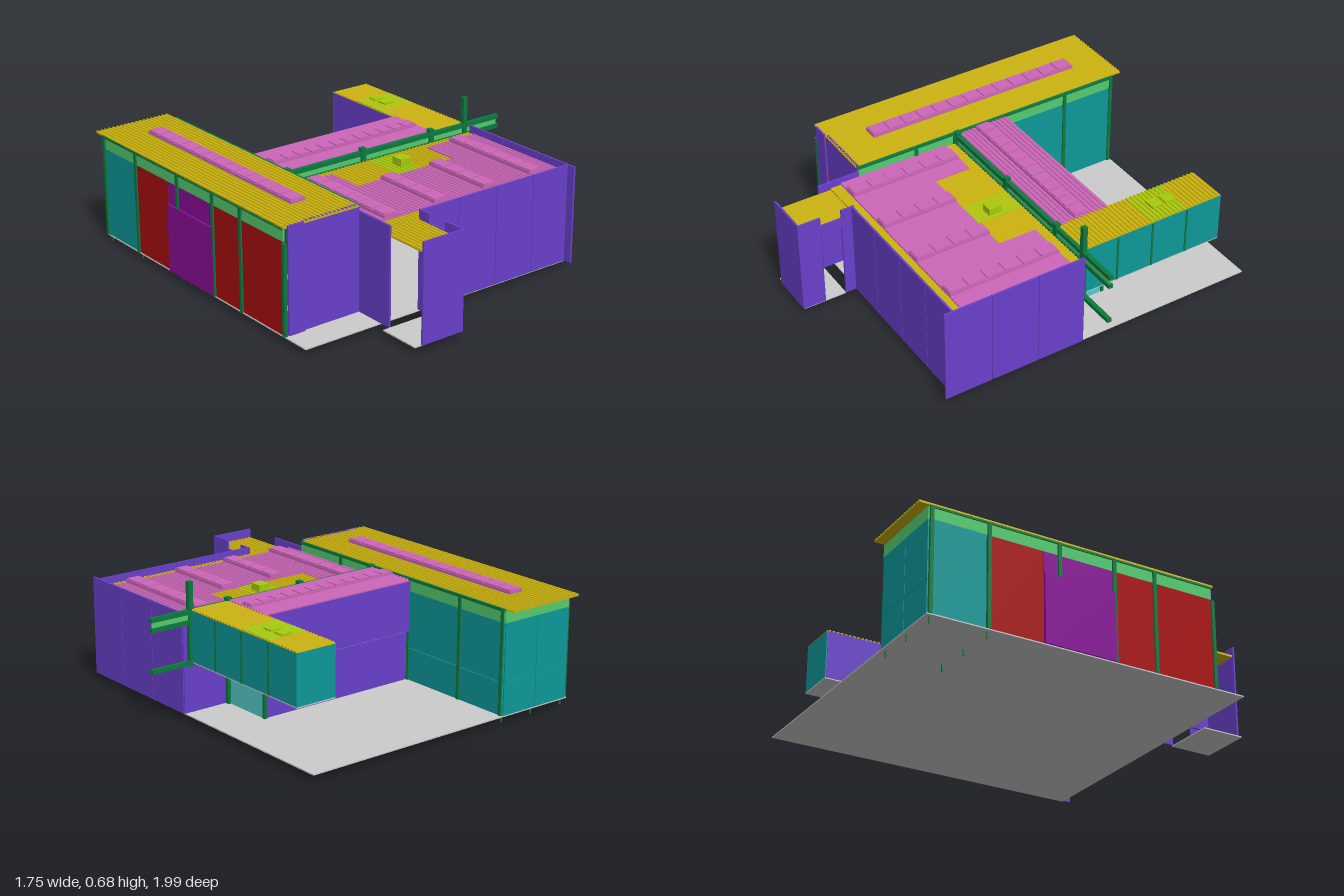
import * as THREE from 'three';

const COLORS = {
  grey: 0xcccccc, purple: 0x6a40cc, teal: 0x0d9999, cyan: 0x55cccc, green: 0x0d7a40, mint: 0x55cc70,
  yellow: 0xccb30d, pink: 0xcc66b8, lime: 0xa6cc0d, red: 0xaa0d0d, magenta: 0x8a0d99,
};
const materials = {};
for (const key in COLORS) {
  materials[key] = new THREE.MeshStandardMaterial({ color: COLORS[key], flatShading: true });
}

export function createModel() {
  const root = new THREE.Group();
  let parent = root;

  function section(name) {
    parent = new THREE.Group();
    parent.name = name;
    root.add(parent);
  }

  // Box given by its lower and upper limits on each axis
  function box(name, color, x0, x1, y0, y1, z0, z1) {
    const mesh = new THREE.Mesh(new THREE.BoxGeometry(x1 - x0, y1 - y0, z1 - z0), materials[color]);
    mesh.position.set((x0 + x1) / 2, (y0 + y1) / 2, (z0 + z1) / 2);
    mesh.name = name;
    parent.add(mesh);
    return mesh;
  }

  // Thin walls along x (at a given z) and along z (at a given x)
  const T = 0.005;
  const wallX = (name, color, x0, x1, y0, y1, z) => box(name, color, x0, x1, y0, y1, z - T, z + T);
  const wallZ = (name, color, x, y0, y1, z0, z1) => box(name, color, x - T, x + T, y0, y1, z0, z1);
  const post = (x, z, y0, y1, r = 0.009) => box('post', 'green', x - r, x + r, y0, y1, z - r, z + r);

  // Ribbed sheet roof: trapezoid ribs across one axis, extruded along the other
  function ribbedRoof(name, color, x0, x1, z0, z1, y, alongX = false) {
    const width = alongX ? z1 - z0 : x1 - x0;
    const length = alongX ? x1 - x0 : z1 - z0;
    const count = Math.max(2, Math.round(width / 0.022));
    const step = width / count;
    const shape = new THREE.Shape();
    shape.moveTo(0, 0);
    shape.lineTo(width, 0);
    for (let i = count; i > 0; i--) {
      const right = i * step;
      shape.lineTo(right, 0.006);
      shape.lineTo(right - step * 0.4, 0.006);
      shape.lineTo(right - step * 0.5, 0.012);
      shape.lineTo(right - step * 0.9, 0.012);
    }
    shape.lineTo(0, 0.006);
    shape.closePath();
    const mesh = new THREE.Mesh(
      new THREE.ExtrudeGeometry(shape, { depth: length, bevelEnabled: false }), materials[color]);
    mesh.name = name;
    if (alongX) {
      mesh.rotation.y = Math.PI / 2;
      mesh.position.set(x0, y, z1);
    } else {
      mesh.position.set(x0, y, z0);
    }
    parent.add(mesh);
  }

  // Row of skylight panes on a low kerb
  function skylights(x0, x1, z0, z1, y, count, alongX = false) {
    box('skylightKerb', 'pink', x0, x1, y, y + 0.014, z0, z1);
    const step = (alongX ? x1 - x0 : z1 - z0) / count;
    const g = 0.004;
    for (let i = 0; i < count; i++) {
      const a = (alongX ? x0 : z0) + i * step + g;
      const b = a + step - 2 * g;
      if (alongX) box('skylightPane', 'pink', a, b, y + 0.014, y + 0.02, z0 + g, z1 - g);
      else box('skylightPane', 'pink', x0 + g, x1 - g, y + 0.014, y + 0.02, a, b);
    }
  }

  // Floor slabs
  section('floor');
  box('floorSlab', 'grey', -0.87, 0.68, 0.032, 0.038, -0.95, 0.7);
  box('entranceStep', 'grey', -0.485, -0.22, 0.032, 0.038, 0.76, 0.98);

  // Long wing on the -x side
  section('longWing');
  const west = -0.862, east = -0.45, base = 0.038;
  [['teal', -0.945, -0.66], ['red', -0.66, -0.37], ['red', 0, 0.22], ['red', 0.22, 0.54]]
    .forEach(([color, a, b]) => wallZ('outerWallPanel', color, west, base, 0.49, a + 0.003, b - 0.003));
  box('outerWallBay', 'magenta', -0.877, -0.857, base, 0.38, -0.37, 0);
  wallZ('outerWallPanel', 'magenta', west, 0.38, 0.49, -0.37, 0);
  wallZ('outerClerestory', 'mint', west, 0.49, 0.552, -0.945, 0.54);
  [[-0.945, -0.65], [-0.65, -0.29]]
    .forEach(([a, b]) => {
      wallZ('courtWallLower', 'teal', east, base, 0.2, a, b - 0.003);
      wallZ('courtWallUpper', 'teal', east, 0.203, 0.49, a, b - 0.003);
    });
  wallZ('courtClerestory', 'mint', east, 0.49, 0.552, -0.945, 0.54);
  for (let i = 0; i < 2; i++) {
    const a = west + i * 0.206;
    wallX('endWallLower', 'teal', a, a + 0.203, base, 0.2, -0.945);
    wallX('endWallUpper', 'teal', a, a + 0.203, 0.203, 0.49, -0.945);
  }
  wallX('endClerestory', 'mint', west, east, 0.49, 0.552, -0.945);
  wallX('frontWall', 'purple', -0.85, -0.763, base, 0.565, 0.55);
  wallX('frontWall', 'purple', -0.76, east, base, 0.565, 0.54);
  for (const z of [-0.935, -0.65, -0.29, 0, 0.22, 0.545]) {
    post(-0.866, z, base, z > 0.5 ? 0.485 : 0.552);
    if (z < 0.5) post(-0.448, z, base, 0.552);
  }
  box('outerEaveBeam', 'green', -0.872, -0.86, 0.545, 0.558, -0.945, 0.54);
  box('courtEaveBeam', 'green', -0.452, -0.44, 0.545, 0.558, -0.945, 0.54);
  ribbedRoof('wingRoof', 'yellow', -0.872, -0.453, -1, 0.55, 0.553);
  skylights(-0.69, -0.61, -0.81, 0.36, 0.564, 13);
  for (const x of [-0.85, -0.65, -0.46]) {
    for (const z of [-0.93, -0.65]) box('foot', 'green', x - 0.003, x + 0.003, 0, 0.033, z - 0.003, z + 0.003);
  }

  // Main hall
  section('mainHall');
  const wallTop = 0.53;
  [-0.22, 0.0, 0.23, 0.46, 0.68].reduce((a, b) => {
    wallX('frontWallPanel', 'purple', a, b - 0.003, base, wallTop, 0.7);
    return b;
  });
  for (let i = 0; i < 3; i++) {
    wallZ('sideWallPanel', 'purple', 0.684, base, wallTop, i * 0.25, Math.min(i * 0.25 + 0.247, 0.745));
  }
  wallX('backWall', 'purple', 0.43, 0.684, base, 0.48, 0);
  ribbedRoof('hallRoof', 'yellow', -0.445, 0.679, 0, 0.695, 0.484);
  ribbedRoof('roofPlantStrip', 'lime', 0.03, 0.17, 0.01, 0.25, 0.488);
  ribbedRoof('upperRoofLeft', 'pink', 0.36, 0.67, 0.055, 0.64, 0.494);
  ribbedRoof('upperRoofMiddle', 'pink', -0.22, 0.36, 0.25, 0.64, 0.494);
  ribbedRoof('upperRoofRight', 'pink', -0.445, -0.22, 0.055, 0.64, 0.494);
  for (const x of [-0.345, 0.53]) skylights(x - 0.037, x + 0.037, 0.06, 0.64, 0.506, 6);
  for (const x of [-0.055, 0.24]) skylights(x - 0.037, x + 0.037, 0.25, 0.64, 0.506, 4);
  box('roofVent', 'lime', 0.095, 0.155, 0.494, 0.535, 0.11, 0.175);

  // Entrance porch with open sides
  section('entrancePorch');
  wallX('porchFront', 'purple', -0.45, -0.22, base, wallTop, 0.985);
  wallZ('porchSide', 'purple', -0.222, base, wallTop, 0.87, 0.99);
  wallZ('porchSide', 'purple', -0.222, base, wallTop, 0.69, 0.76);
  wallZ('porchSide', 'purple', -0.447, base, wallTop, 0.54, 0.76);
  wallZ('porchLintel', 'purple', -0.222, 0.44, 0.485, 0.76, 0.87);
  ribbedRoof('porchRoof', 'yellow', -0.445, -0.225, 0.69, 0.98, 0.475);

  // Beams and posts between the hall and the connecting block
  section('spineFrame');
  box('topBeam', 'green', -0.445, 0.872, 0.523, 0.545, -0.025, -0.003);
  box('glazedBand', 'mint', -0.445, 0.865, 0.495, 0.523, -0.017, -0.011);
  box('middleBeam', 'green', -0.445, 0.872, 0.475, 0.496, -0.025, -0.003);
  box('lowerBeam', 'green', 0.43, 0.872, 0.276, 0.297, -0.025, -0.003);
  for (const x of [-0.44, 0.01, 0.435]) post(x, -0.014, base, 0.562, 0.014);
  post(0.653, -0.014, 0.27, 0.68, 0.012);

  // Connecting block behind the hall
  section('connectingBlock');
  wallX('lowerBackWall', 'purple', -0.445, 0.43, base, 0.29, -0.28);
  wallX('upperBackWall', 'purple', -0.445, 0.43, 0.29, 0.54, -0.295);
  wallZ('glazedEnd', 'cyan', 0.43, base, 0.29, -0.275, -0.02);
  post(0.43, -0.285, base, 0.29, 0.008);
  box('upperFloor', 'grey', -0.445, 0.43, 0.287, 0.293, -0.295, -0.02);
  ribbedRoof('connectorRoof', 'pink', -0.44, 0.44, -0.3, -0.026, 0.54, true);
  skylights(-0.435, 0.43, -0.185, -0.115, 0.545, 12, true);

  // Raised box projecting over the yard
  section('raisedBox');
  box('boxFloor', 'grey', 0.435, 0.65, 0.287, 0.293, -0.8, -0.02);
  wallZ('innerWall', 'purple', 0.438, 0.293, 0.54, -0.795, -0.28);
  for (let i = 0; i < 4; i++) {
    const z = -0.795 + i * 0.196;
    wallZ('outerPanel', 'teal', 0.646, 0.293, 0.54, z, z + 0.192);
    if (i) box('panelMullion', 'green', 0.645, 0.654, 0.293, 0.535, z - 0.007, z + 0.003);
  }
  wallX('endPanel', 'teal', 0.435, 0.65, 0.293, 0.54, -0.795);
  ribbedRoof('boxRoof', 'yellow', 0.435, 0.65, -0.8, -0.02, 0.536, true);
  ribbedRoof('boxRoofPlantStrip', 'lime', 0.44, 0.645, -0.6, -0.4, 0.538, true);
  for (const z of [-0.565, -0.49]) box('roofVent', 'lime', 0.51, 0.572, 0.54, 0.556, z - 0.028, z + 0.028);

  return root;
}
